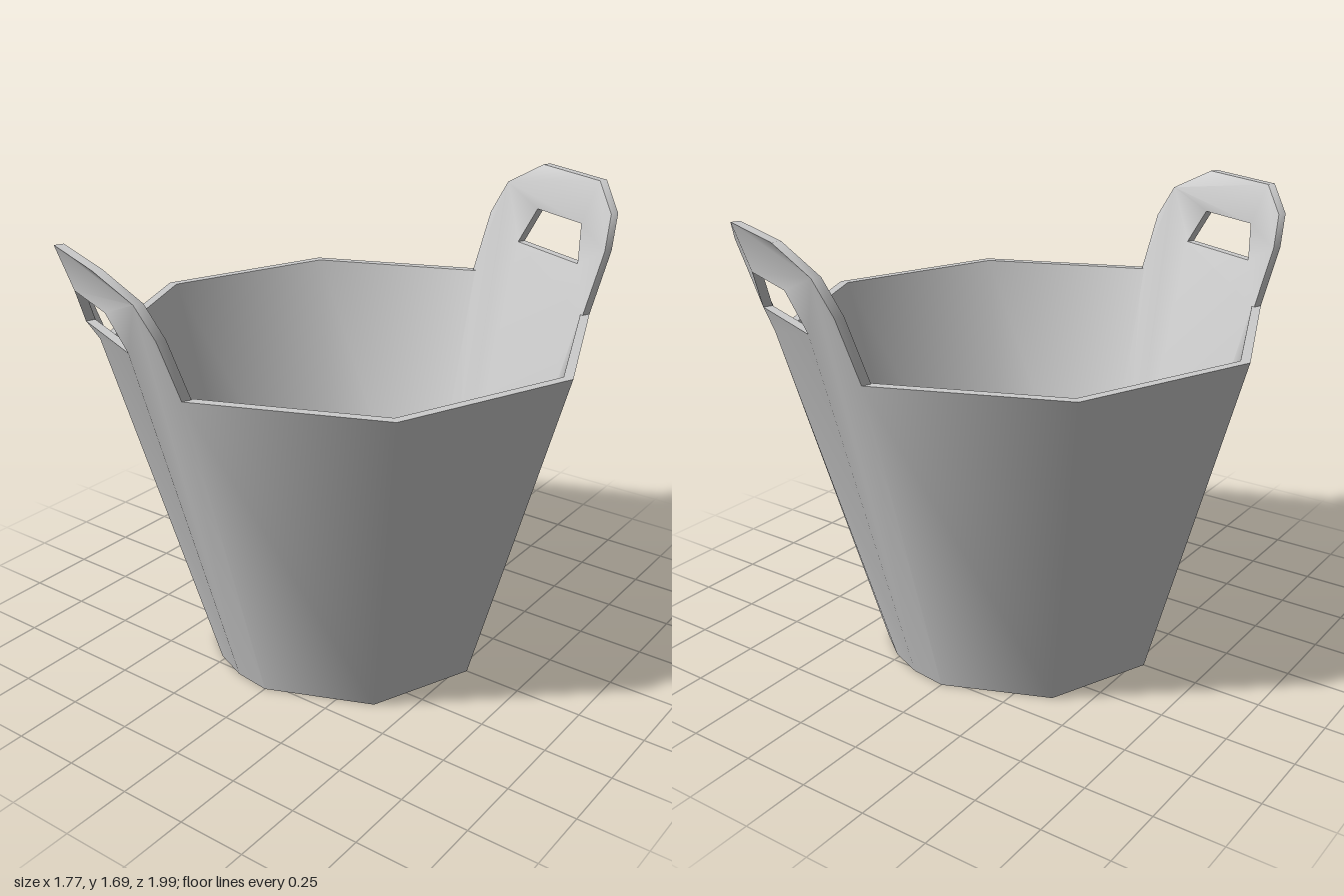
import * as THREE from 'three';
import { toCreasedNormals } from 'three/addons/utils/BufferGeometryUtils.js';

const SIDES = 8, STEP = Math.PI / 4;
const RIM_Y = 1.25, R_TOP = 0.885, R_BASE = 0.535, WALL = 0.035;
const COS = Math.cos(STEP / 2), SIN = Math.sin(STEP / 2);
const PANEL_THICK = 0.033;
const lerp = THREE.MathUtils.lerp;

// Mirror the right-hand outline (bottom to top) into a closed loop
function mirrored(half) {
  return [...half, ...half.map(([x, y]) => [-x, y]).reverse()]
    .map(([x, y]) => new THREE.Vector2(x, y));
}

// Distance of a handle panel's outer face from the axis: a middle strip
// leans straight out, the flanks slope back to the neighbouring walls
function panelDepth(t, y, top) {
  const k = Math.min(y / RIM_Y, 1);
  const edgeT = lerp(R_BASE, R_TOP, k) * SIN;
  const edge = lerp(R_BASE, R_TOP, k) * COS + Math.max(y - RIM_Y, 0) * 0.35;
  const midT = lerp(0.07, 0.165, y / top);
  const mid = lerp(0.53, 1.01, y / top);
  const blend = THREE.MathUtils.clamp((edgeT - Math.abs(t)) / (edgeT - midT), 0, 1);
  return lerp(edge, mid, blend);
}

// Wall panel that carries on upward into a grip with a cut-out
function makeHandlePanel(name, angle, top, material) {
  const at = (s) => lerp(RIM_Y, top, s);
  const shape = new THREE.Shape(mirrored([
    [0.07, 0], [R_BASE * SIN, 0], [R_TOP * SIN, RIM_Y],
    [0.342, at(0.52)], [0.305, at(0.8)], [0.165, top],
  ]));
  shape.holes.push(new THREE.Path(mirrored([[0.18, at(0.32)], [0.13, at(0.63)]])));
  const geo = new THREE.ExtrudeGeometry(shape, { depth: PANEL_THICK, bevelEnabled: false });

  // Bend the flat plate to the leaning, bulging surface
  const p = geo.attributes.position;
  for (let i = 0; i < p.count; i++) {
    p.setZ(i, p.getZ(i) - PANEL_THICK + panelDepth(p.getX(i), p.getY(i), top));
  }
  const mesh = new THREE.Mesh(toCreasedNormals(geo, 0.8), material);
  mesh.name = name;
  mesh.rotation.y = angle;
  return mesh;
}

export function createModel() {
  const group = new THREE.Group();
  group.name = 'bucket';
  const material = new THREE.MeshStandardMaterial({ color: 0xcccccc });

  // Three plain wall facets on each side between the handle panels
  const profiles = {
    outerWall: [[R_BASE, 0], [R_TOP, RIM_Y]],
    rim: [[R_TOP, RIM_Y], [R_TOP - WALL, RIM_Y]],
    innerWall: [[R_TOP - WALL, RIM_Y], [R_BASE - WALL, 0]],
  };
  for (const [side, start] of [['left', 0], ['right', Math.PI]]) {
    for (const [name, profile] of Object.entries(profiles)) {
      const pts = profile.map(([r, y]) => new THREE.Vector2(r, y));
      const mesh = new THREE.Mesh(new THREE.LatheGeometry(pts, 3, start, 3 * STEP), material);
      mesh.name = `${side} ${name}`;
      group.add(mesh);
    }
  }

  // Underside and inner floor
  const underside = new THREE.Mesh(new THREE.CircleGeometry(R_BASE, SIDES), material);
  underside.name = 'underside';
  underside.rotation.x = Math.PI / 2;
  const floor = new THREE.Mesh(new THREE.CircleGeometry(0.5, 24), material);
  floor.name = 'floor';
  floor.rotation.x = -Math.PI / 2;
  floor.position.y = 0.04;
  group.add(underside, floor);

  // Opposite handles, the rear one slightly taller
  group.add(makeHandlePanel('frontHandle', -STEP / 2, 1.655, material));
  group.add(makeHandlePanel('backHandle', Math.PI - STEP / 2, 1.69, material));
  return group;
}
